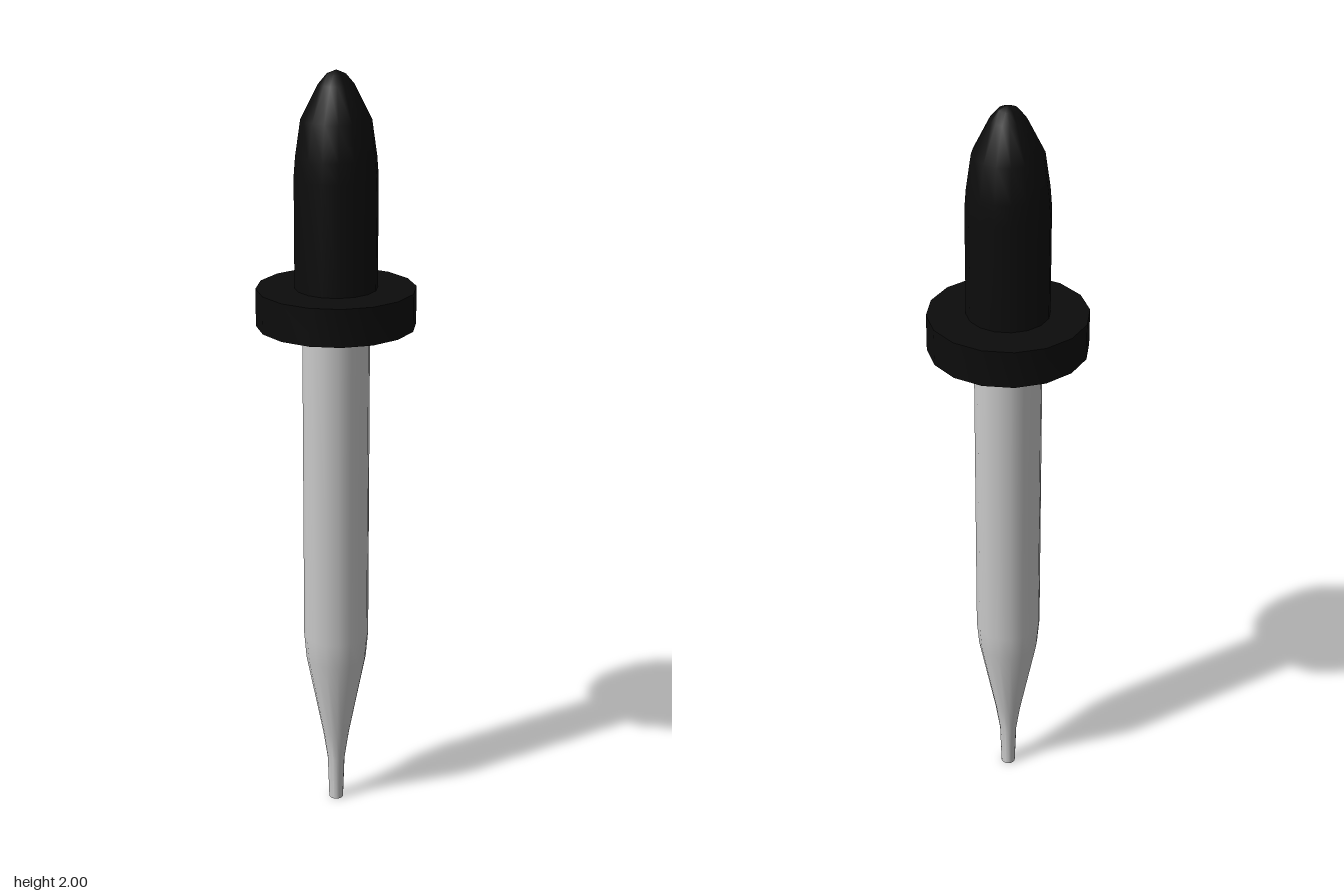
import * as THREE from 'three';
import { toCreasedNormals } from 'three/addons/utils/BufferGeometryUtils.js';

const SIDES = 16;

// Revolves a [radius, height] profile, listed bottom to top, keeping hard rims sharp
function turned(name, profile, material) {
  const points = profile.map(([r, y]) => new THREE.Vector2(r, y));
  const geometry = toCreasedNormals(new THREE.LatheGeometry(points, SIDES), 0.75);
  const mesh = new THREE.Mesh(geometry, material);
  mesh.name = name;
  return mesh;
}

export function createModel() {
  const group = new THREE.Group();
  group.name = 'dropper';

  const rubber = new THREE.MeshStandardMaterial({ color: 0x0c0c0c });
  const glass = new THREE.MeshStandardMaterial({ color: 0xcccccc });

  // Straight tube narrowing to a fine nozzle
  group.add(turned('glassTube', [
    [0, 0], [0.019, 0], [0.023, 0.12], [0.035, 0.2], [0.08, 0.43],
    [0.086, 0.5], [0.086, 1.38], [0, 1.38],
  ], glass));

  // Wide flange between tube and bulb
  group.add(turned('collar', [
    [0, 1.36], [0.203, 1.36], [0.203, 1.457], [0, 1.457],
  ], rubber));

  // Squeeze bulb with a rounded point
  group.add(turned('bulb', [
    [0.105, 1.44], [0.105, 1.74], [0.101, 1.79], [0.088, 1.88],
    [0.045, 1.965], [0.024, 1.99], [0, 2],
  ], rubber));

  return group;
}
